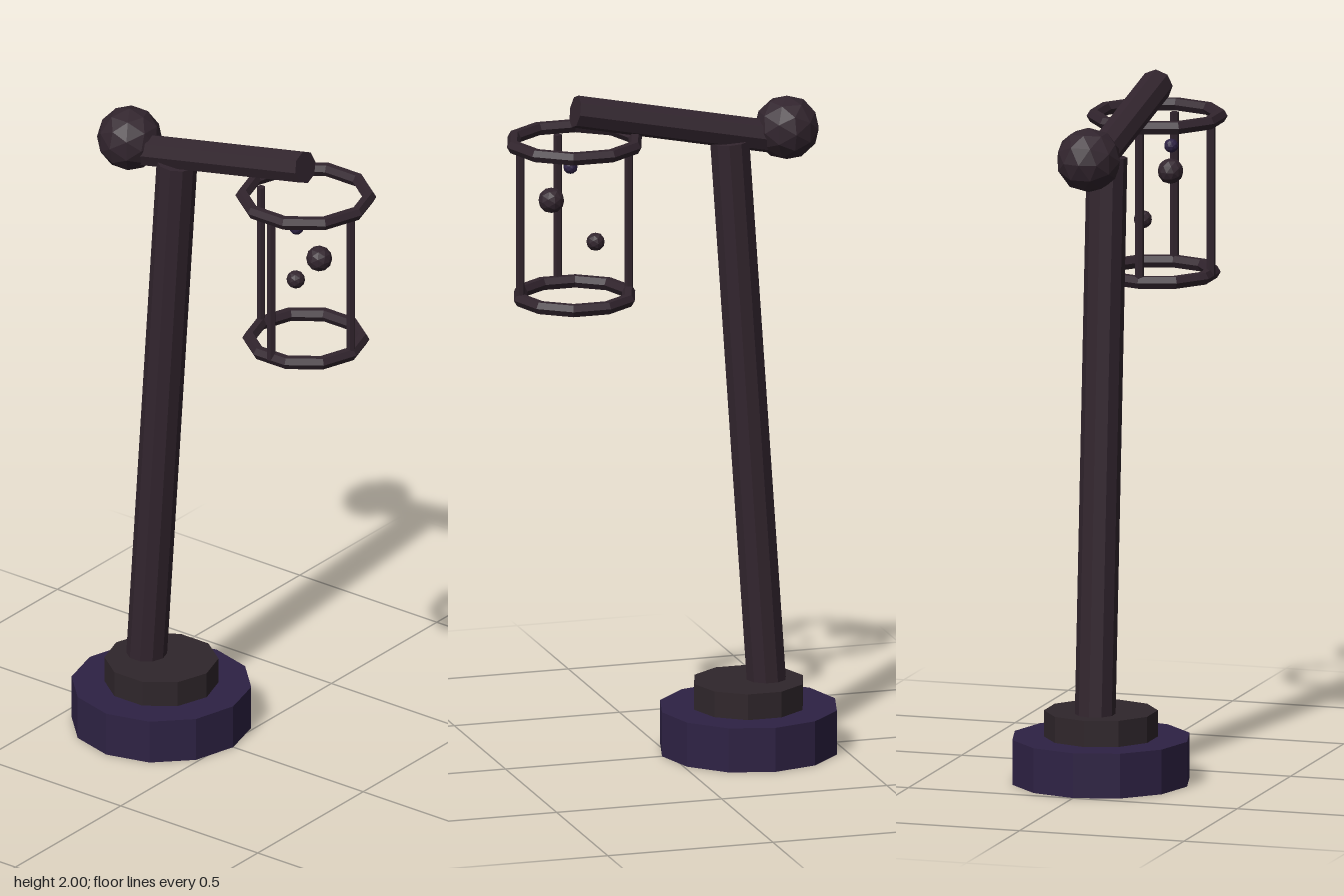
import * as THREE from 'three';

export function createModel() {
  const root = new THREE.Group();
  const material = (name, color) => {
    const m = new THREE.MeshStandardMaterial({ color, flatShading: true });
    m.name = name;
    return m;
  };
  const purple = material('dark purple', 0x2e2244);
  const iron = material('dark iron', 0x32252e);
  const stone = material('dark stone', 0x2f262b);

  const add = (name, geometry, mat, x, y, z) => {
    const mesh = new THREE.Mesh(geometry, mat);
    mesh.name = name;
    mesh.position.set(x, y, z);
    root.add(mesh);
    return mesh;
  };

  // Cylinder running between two points
  const rod = (name, from, to, radius, sides) => {
    const a = new THREE.Vector3(...from);
    const b = new THREE.Vector3(...to);
    const dir = b.clone().sub(a);
    const geometry = new THREE.CylinderGeometry(radius, radius, dir.length(), sides);
    geometry.rotateY(Math.PI / 2);
    const mid = a.add(b).multiplyScalar(0.5);
    const mesh = add(name, geometry, iron, mid.x, mid.y, mid.z);
    mesh.quaternion.setFromUnitVectors(new THREE.Vector3(0, 1, 0), dir.normalize());
  };

  // Stepped base
  add('base', new THREE.CylinderGeometry(0.262, 0.262, 0.132, 12), purple, -0.236, 0.066, 0);
  const step = add('baseStep', new THREE.CylinderGeometry(0.165, 0.165, 0.077, 10), stone, -0.236, 0.1705, 0);
  step.rotation.y = Math.PI / 2;

  // Leaning post, tilted arm and the ball at the joint
  rod('post', [-0.293, 0.16, 0], [-0.179, 1.83, 0], 0.059, 10);
  rod('arm', [-0.35, 1.822, 0], [0.289, 1.954, 0], 0.048, 8);
  add('jointBall', new THREE.IcosahedronGeometry(0.095, 1), iron, -0.352, 1.855, 0);

  // Lantern cage: two rings joined by three bars
  const cx = 0.291;
  const ring = (name, radius, y) => {
    const geometry = new THREE.TorusGeometry(radius, 0.02, 6, 10);
    geometry.rotateX(Math.PI / 2);
    add(name, geometry, iron, cx, y, 0);
  };
  ring('upperRing', 0.184, 1.862);
  ring('lowerRing', 0.164, 1.402);
  for (const [dx, dz] of [[-0.164, 0], [0.164, 0], [0, 0.164]]) {
    rod('cageBar', [cx + dx, 1.4, dz], [cx + dx, 1.842, dz], 0.013, 6);
  }

  // Small embers floating in the cage
  add('largeEmber', new THREE.IcosahedronGeometry(0.038, 1), iron, 0.355, 1.688, 0.02);
  add('mediumEmber', new THREE.IcosahedronGeometry(0.027, 1), iron, 0.235, 1.566, -0.025);
  add('smallEmber', new THREE.IcosahedronGeometry(0.021, 1), purple, 0.29, 1.777, 0.043);

  return root;
}
